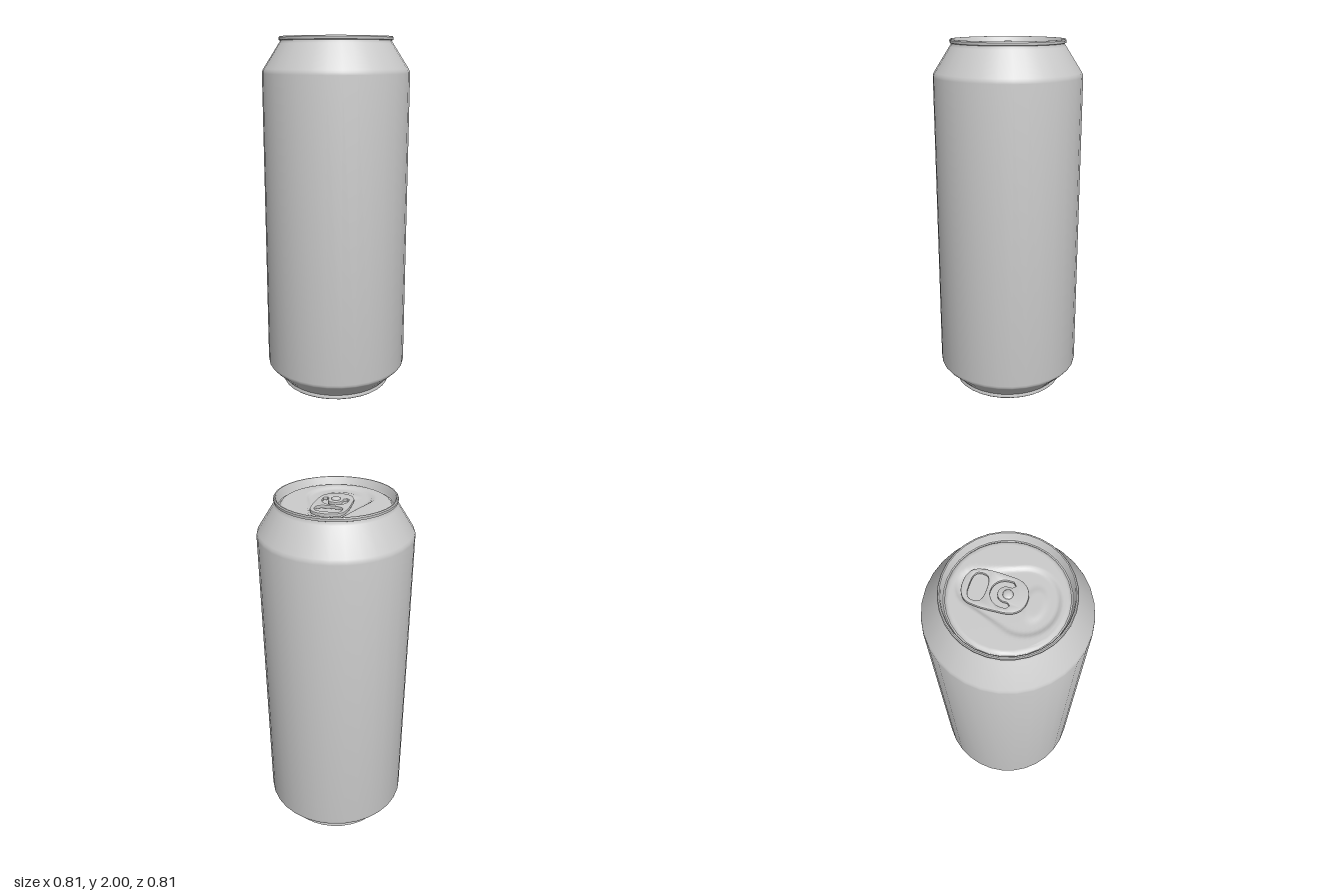
import * as THREE from 'three';
import { mergeVertices, toCreasedNormals } from 'three/addons/utils/BufferGeometryUtils.js';

const V = (x, y) => new THREE.Vector2(x, y);
const PANEL_Y = 1.968;

export function createModel() {
  const group = new THREE.Group();
  const grey = new THREE.MeshStandardMaterial({ color: 0xcccccc });
  const add = (name, geometry) => {
    const mesh = new THREE.Mesh(geometry, grey);
    mesh.name = name;
    group.add(mesh);
    return mesh;
  };

  // Shell: recessed base, foot, wall, shoulder, rolled rim and lid groove in one profile
  const profile = [
    [0, 0.03], [0.26, 0.03], [0.272, 0.026], [0.288, 0.004], [0.296, 0], [0.306, 0],
    [0.313, 0.006], [0.313, 0.018], [0.31, 0.026], [0.318, 0.036],
    [0.396, 0.113], [0.403, 0.122], [0.405, 0.135],
    [0.405, 1.805], [0.403, 1.818], [0.397, 1.83],
    [0.312, 1.962], [0.305, 1.972], [0.304, 1.978], [0.311, 1.981], [0.312, 1.994],
    [0.308, 2], [0.302, 2], [0.298, 1.995],
    [0.294, 1.962], [0.289, 1.955], [0.282, 1.955], [0.275, 1.964], [0.268, PANEL_Y], [0.258, PANEL_Y],
  ].map(p => V(...p));
  add('canShell', toCreasedNormals(new THREE.LatheGeometry(profile, 32), 0.6));

  // Lid panel: a teardrop recess with a low raised oval on the opening
  const panel = new THREE.RingGeometry(0.001, 0.266, 64, 30);
  panel.rotateX(-Math.PI / 2);
  const pos = panel.attributes.position;
  const teardrop = (x, z) => {
    let d = Infinity;
    for (let i = 0; i <= 24; i++) {
      const t = i / 24;
      const r = THREE.MathUtils.lerp(0.095, 0.165, t);
      d = Math.min(d, Math.hypot(x * (1 - 0.06 * t), z - THREE.MathUtils.lerp(-0.155, 0.08, t)) - r);
    }
    return d;
  };
  for (let i = 0; i < pos.count; i++) {
    const x = pos.getX(i), z = pos.getZ(i);
    const recess = THREE.MathUtils.smoothstep(-teardrop(x, z), 0, 0.022);
    const oval = 1 - THREE.MathUtils.smoothstep(Math.hypot(x / 0.1, (z - 0.125) / 0.06), 0.6, 1);
    pos.setY(i, PANEL_Y - 0.0005 - 0.012 * recess + 0.006 * oval);
  }
  panel.deleteAttribute('normal');
  panel.deleteAttribute('uv');
  const lid = mergeVertices(panel);
  lid.computeVertexNormals();
  add('lidPanel', lid);

  // Pull tab: rounded outline with a finger hole and a C-shaped slot around the rivet
  const half = [[0, 0.212], [0.045, 0.205], [0.08, 0.178], [0.093, 0.12], [0.092, 0.03],
    [0.085, -0.035], [0.06, -0.072], [0.03, -0.088], [0, -0.092]];
  const outline = [...half, ...half.slice(1, -1).reverse().map(([x, y]) => [-x, y])].map(p => V(...p));
  const curve = new THREE.CatmullRomCurve3(outline.map(p => new THREE.Vector3(p.x, p.y, 0)), true);
  const tab = new THREE.Shape(curve.getPoints(40).slice(0, -1).map(p => V(p.x, p.y)));

  const finger = [];
  for (let i = 0; i < 20; i++) {
    const a = i / 20 * Math.PI * 2, c = Math.cos(a), s = Math.sin(a);
    finger.push(V(0.069 * Math.sign(c) * Math.abs(c) ** 0.7, 0.139 + 0.04 * Math.sign(s) * Math.abs(s) ** 0.7));
  }
  tab.holes.push(new THREE.Path(finger));

  const slot = new THREE.Path();
  slot.absarc(0, 0.014, 0.066, 0, Math.PI, false);
  slot.lineTo(-0.066, -0.008);
  slot.lineTo(-0.05, -0.021);
  slot.lineTo(-0.038, -0.008);
  slot.absarc(0, 0.01, 0.038, Math.PI, 0, true);
  slot.lineTo(0.038, -0.008);
  slot.lineTo(0.05, -0.021);
  slot.lineTo(0.066, -0.008);
  tab.holes.push(slot);

  const tabGeometry = new THREE.ExtrudeGeometry(tab, {
    depth: 0.008, curveSegments: 10, bevelEnabled: true,
    bevelThickness: 0.005, bevelSize: 0.005, bevelOffset: -0.005, bevelSegments: 2,
  });
  tabGeometry.rotateX(-Math.PI / 2);
  add('pullTab', toCreasedNormals(tabGeometry, 0.7)).position.y = 1.969;

  // Rivet: low domed button through the tab
  const button = [[0.024, 1.955], [0.024, 1.984], [0.021, 1.988], [0.012, 1.992], [0, 1.993]].map(p => V(...p));
  add('rivet', new THREE.LatheGeometry(button, 12));

  return group;
}
